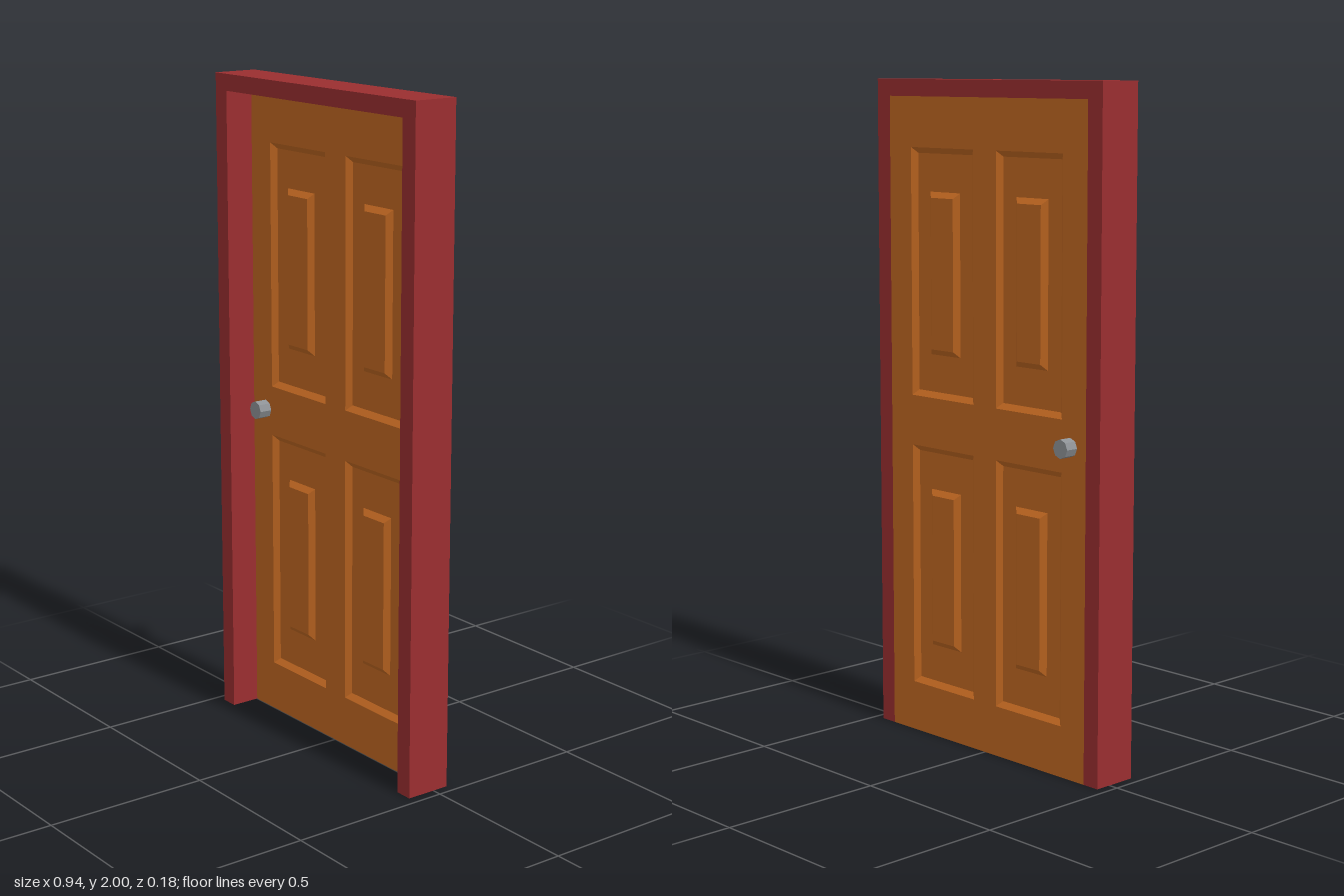
import * as THREE from 'three';

const material = (name, color) => {
  const m = new THREE.MeshStandardMaterial({ color });
  m.name = name;
  return m;
};

const rectPoints = (x0, y0, x1, y1) =>
  [[x0, y0], [x1, y0], [x1, y1], [x0, y1]].map(([x, y]) => new THREE.Vector2(x, y));

// Walls between successive rectangles, each step being [inset, z]; optionally closed by a flat cap
function steppedRect([x0, y0, x1, y1], steps, capped) {
  const rings = steps.map(([d, z]) =>
    rectPoints(x0 + d, y0 + d, x1 - d, y1 - d).map((p) => [p.x, p.y, z]));
  const pos = [];
  const quad = (a, b, c, d) => pos.push(...a, ...b, ...c, ...a, ...c, ...d);
  for (let r = 0; r < rings.length - 1; r++) {
    for (let i = 0; i < 4; i++) {
      const j = (i + 1) % 4;
      quad(rings[r][i], rings[r][j], rings[r + 1][j], rings[r + 1][i]);
    }
  }
  if (capped) quad(...rings[rings.length - 1]);
  const geo = new THREE.BufferGeometry();
  geo.setAttribute('position', new THREE.Float32BufferAttribute(pos, 3));
  geo.computeVertexNormals();
  return geo;
}

export function createModel() {
  const model = new THREE.Group();
  model.name = 'door';
  const red = material('frameRed', 0x9a2e30);
  const wood = material('doorOrange', 0xc06721);
  const metal = material('knobGrey', 0x8e9296);

  const add = (parent, name, geo, mat) => {
    const mesh = new THREE.Mesh(geo, mat);
    mesh.name = name;
    parent.add(mesh);
    return mesh;
  };

  const W = 0.47, H = 2, back = -0.05, front = 0.09; // frame
  const w = 0.415, h = 1.95, face = 0; // leaf, flush with the back of the frame

  // Frame: two jambs and a header in one outline
  const outline = [[-W, 0], [-w, 0], [-w, h], [w, h], [w, 0], [W, 0], [W, H], [-W, H]]
    .map(([x, y]) => new THREE.Vector2(x, y));
  const frameGeo = new THREE.ExtrudeGeometry(new THREE.Shape(outline),
    { depth: front - back, bevelEnabled: false });
  frameGeo.translate(0, 0, back);
  add(model, 'frame', frameGeo, red);

  // Leaf edges
  const leaf = new THREE.Group();
  leaf.name = 'leaf';
  model.add(leaf);
  add(leaf, 'leafEdges', steppedRect([-w, 0, w, h], [[0, back], [0, face]], false), wood);

  // Four panels: a sunken border around a raised field
  const panels = [];
  for (const [x0, x1] of [[-0.32, -0.048], [0.048, 0.32]])
    for (const [y0, y1] of [[0.153, 0.9], [1.053, 1.8]]) panels.push([x0, y0, x1, y1]);
  const bevel = 0.017, sink = -0.014;

  // Both sides of the leaf; the back is the front turned around
  for (const side of ['front', 'back']) {
    const half = new THREE.Group();
    half.name = side + 'Side';
    const sheet = new THREE.Shape(rectPoints(-w, 0, w, h));
    for (const p of panels) {
      sheet.holes.push(new THREE.Path(rectPoints(...p)));
      const [x0, y0, x1, y1] = p;
      add(half, 'panelBorder', steppedRect(p, [[0, 0], [bevel, sink]], false), wood);
      // Sunken floor with an opening for the raised field
      const field = [x0 + 0.071, y0 + 0.13, x1 - 0.071, y1 - 0.13];
      const floor = new THREE.Shape(rectPoints(x0 + bevel, y0 + bevel, x1 - bevel, y1 - bevel));
      floor.holes.push(new THREE.Path(rectPoints(...field)));
      add(half, 'panelFloor', new THREE.ShapeGeometry(floor).translate(0, 0, sink), wood);
      add(half, 'panelField', steppedRect(field, [[0, sink], [bevel, 0]], true), wood);
    }
    add(half, 'leafFace', new THREE.ShapeGeometry(sheet), wood);
    if (side === 'back') {
      half.rotation.y = Math.PI;
      half.position.z = back;
    }
    leaf.add(half);
  }

  // Eight-sided knobs
  const knobGeo = new THREE.CylinderGeometry(0.028, 0.028, 0.04, 8).toNonIndexed();
  knobGeo.computeVertexNormals();
  knobGeo.rotateX(Math.PI / 2);
  for (const [name, z] of [['frontKnob', face + 0.02], ['backKnob', back - 0.02]])
    add(model, name, knobGeo, metal).position.set(-0.353, 0.977, z);

  return model;
}
